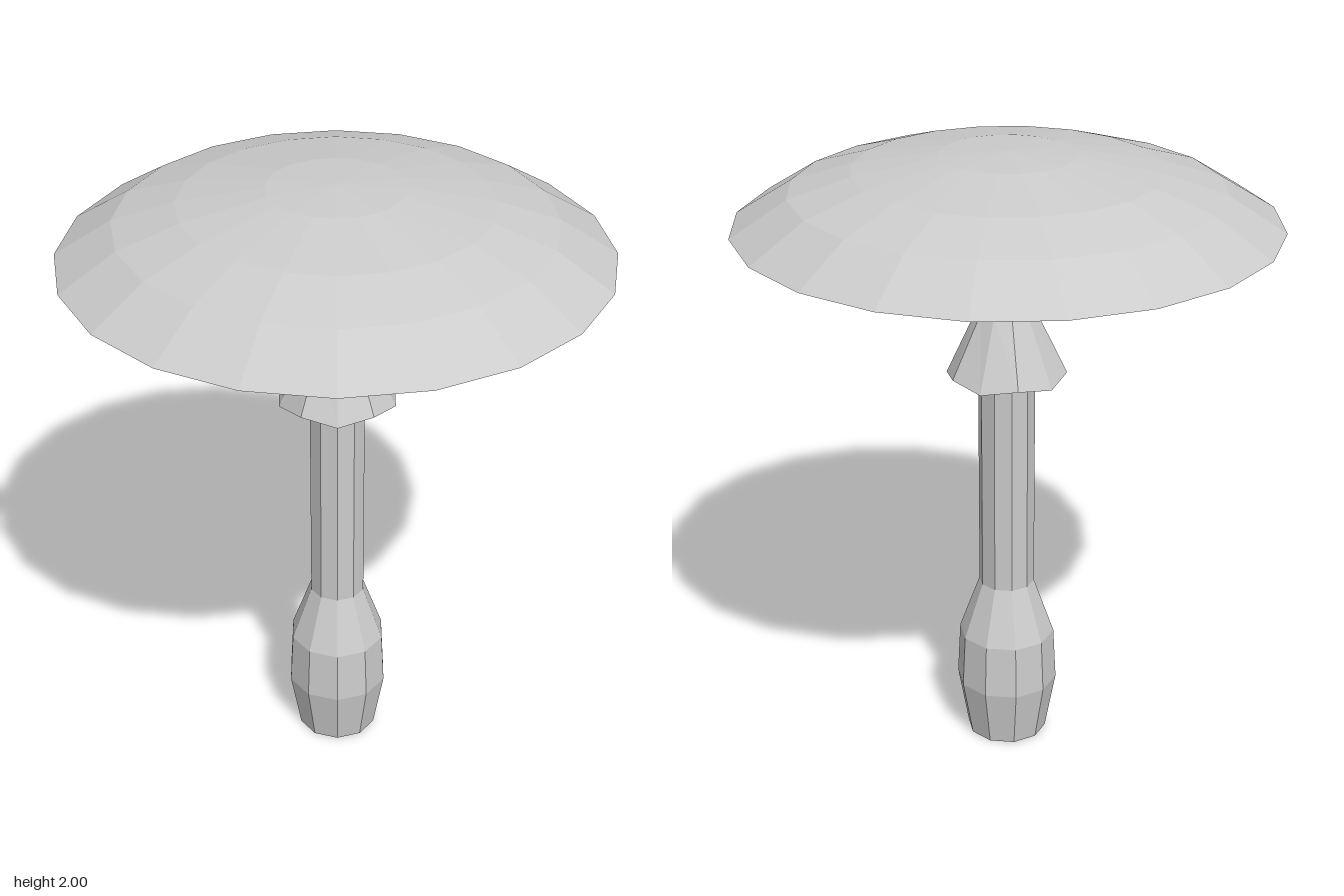
import * as THREE from 'three';

// Faceted solid of revolution; profile runs from the bottom up as [radius, height]
function turned(name, profile, sides, side = THREE.FrontSide) {
  const points = profile.map(([r, y]) => new THREE.Vector2(r, y));
  const geometry = new THREE.LatheGeometry(points, sides, Math.PI / 2);
  const material = new THREE.MeshStandardMaterial({ color: 0xcccccc, flatShading: true, side });
  const mesh = new THREE.Mesh(geometry, material);
  mesh.name = name;
  return mesh;
}

export function createModel() {
  const mushroom = new THREE.Group();
  mushroom.name = 'mushroom';

  // Stem with a swollen foot
  const stem = turned('stem', [
    [0, 0], [0.13, 0], [0.165, 0.195], [0.156, 0.37], [0.09, 0.555], [0.09, 1.69],
  ], 10);

  // Open skirt around the stem, its hem rising and falling at every other corner
  const skirt = turned('skirt', [[0.19, 1.288], [0.09, 1.5]], 10, THREE.DoubleSide);
  const pos = skirt.geometry.attributes.position;
  for (let i = 0; i < pos.count; i += 2) {
    const corner = i / 2;
    pos.setY(i, corner % 2 ? 1.28 : 1.297);
  }
  stem.position.x = skirt.position.x = 0.004;

  // Wide shallow cap with a gently sloping underside
  const cap = turned('cap', [
    [0, 1.668], [0.08, 1.67], [0.27, 1.69], [0.58, 1.72], [0.75, 1.743], [0.84, 1.775],
    [0.665, 1.885], [0.475, 1.945], [0.21, 1.99], [0, 2],
  ], 20);

  mushroom.add(stem, skirt, cap);
  return mushroom;
}
